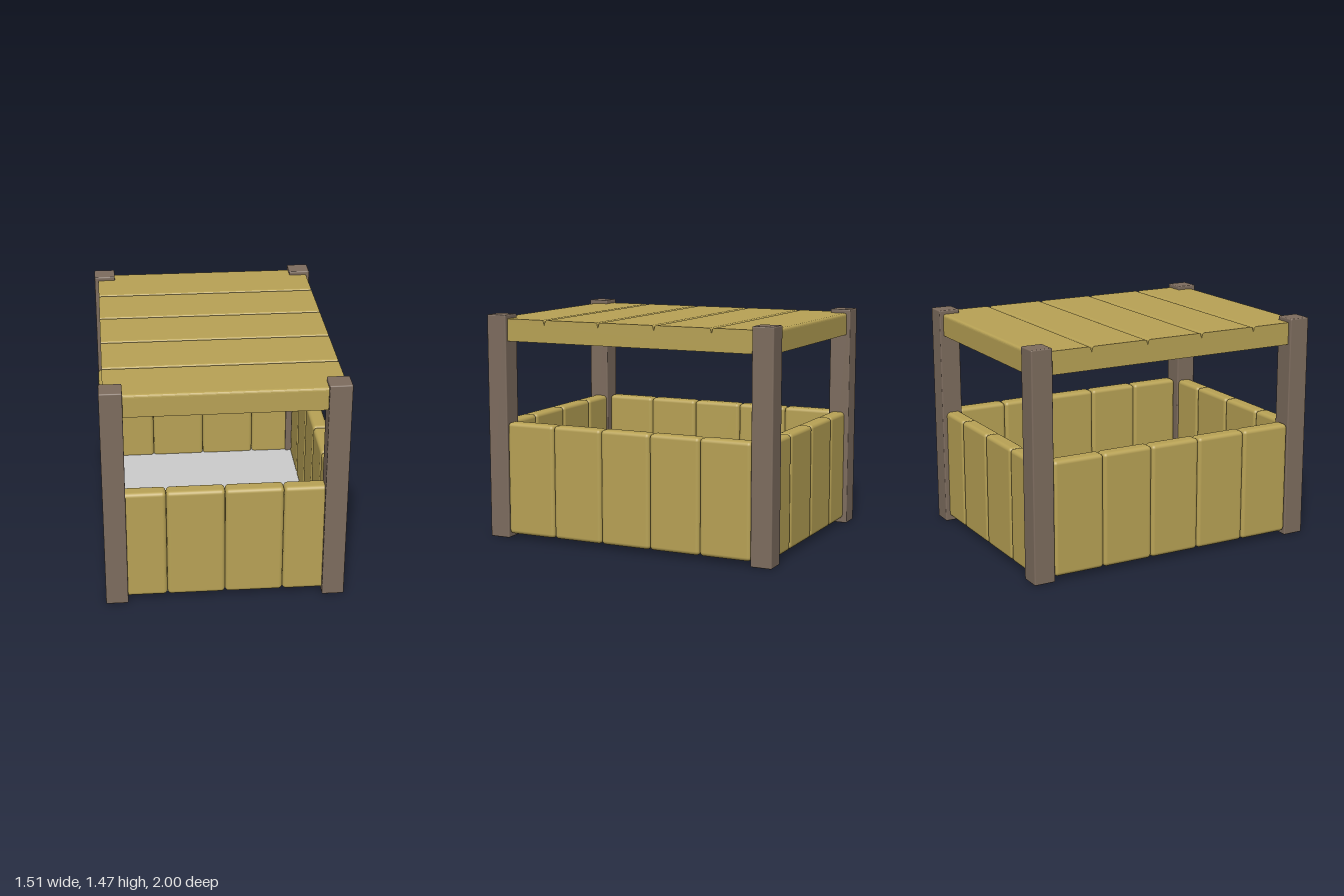
import * as THREE from 'three';
import { RoundedBoxGeometry } from 'three/addons/geometries/RoundedBoxGeometry.js';

const wood = new THREE.MeshStandardMaterial({ color: 0xb8a255 });
const darkWood = new THREE.MeshStandardMaterial({ color: 0x7d6c5e });
const grey = new THREE.MeshStandardMaterial({ color: 0xcccccc });

function addBox(parent, name, size, position, radius, material) {
  const mesh = new THREE.Mesh(new RoundedBoxGeometry(...size, 3, radius), material);
  mesh.name = name;
  mesh.position.set(...position);
  parent.add(mesh);
}

// Flat horizontal sheet facing up or down
function addSheet(parent, name, width, depth, y, facing, material) {
  const geometry = new THREE.PlaneGeometry(width, depth).rotateX(-facing * Math.PI / 2);
  const mesh = new THREE.Mesh(geometry, material);
  mesh.name = name;
  mesh.position.y = y;
  parent.add(mesh);
}

// Roof slab: side profile with rounded ends and a V groove between boards
function roofGeometry() {
  const halfZ = 0.975, bottom = 1.3, top = 1.445, round = 0.02;
  const s = new THREE.Shape();
  s.moveTo(-halfZ, bottom);
  s.lineTo(halfZ, bottom);
  s.lineTo(halfZ, top - round);
  s.quadraticCurveTo(halfZ, top, halfZ - round, top);
  for (const z of [0.585, 0.195, -0.195, -0.585]) {
    s.lineTo(z + 0.022, top);
    s.quadraticCurveTo(z + 0.006, top, z + 0.005, top - 0.016);
    s.lineTo(z, top - 0.034);
    s.lineTo(z - 0.005, top - 0.016);
    s.quadraticCurveTo(z - 0.006, top, z - 0.022, top);
  }
  s.lineTo(-halfZ + round, top);
  s.quadraticCurveTo(-halfZ, top, -halfZ, top - round);
  s.closePath();
  const width = 1.46;
  return new THREE.ExtrudeGeometry(s, { depth: width, bevelEnabled: false, curveSegments: 5 })
    .translate(0, 0, -width / 2)
    .rotateY(-Math.PI / 2);
}

export function createModel() {
  const model = new THREE.Group();
  model.name = 'coveredStall';

  // Corner posts
  const posts = new THREE.Group();
  posts.name = 'posts';
  for (const sx of [-1, 1]) {
    for (const sz of [-1, 1]) {
      addBox(posts, 'cornerPost', [0.14, 1.47, 0.14], [sx * 0.685, 0.735, sz * 0.93], 0.008, darkWood);
    }
  }
  model.add(posts);

  // Plank walls
  const height = 0.74, midY = 0.4, thick = 0.1;
  for (const side of [-1, 1]) {
    const endWall = new THREE.Group();
    endWall.name = side > 0 ? 'frontWall' : 'backWall';
    for (let i = 0; i < 4; i++) {
      addBox(endWall, 'plank', [0.364, height, thick], [(i - 1.5) * 0.365, midY, side * 0.92], 0.025, wood);
    }
    const sideWall = new THREE.Group();
    sideWall.name = side > 0 ? 'leftWall' : 'rightWall';
    for (let i = 0; i < 5; i++) {
      addBox(sideWall, 'plank', [thick, height, 0.343], [side * 0.705, midY, (i - 2) * 0.344], 0.025, wood);
    }
    model.add(endWall, sideWall);
  }

  // Floor
  addSheet(model, 'floorUnderside', 1.42, 1.9, 0.04, -1, wood);
  addSheet(model, 'floorTop', 1.42, 1.9, 0.045, 1, grey);

  // Roof boards and ceiling
  const roof = new THREE.Mesh(roofGeometry(), wood);
  roof.name = 'roofBoards';
  model.add(roof);
  addSheet(model, 'ceiling', 1.46, 1.95, 1.298, -1, grey);

  return model;
}
